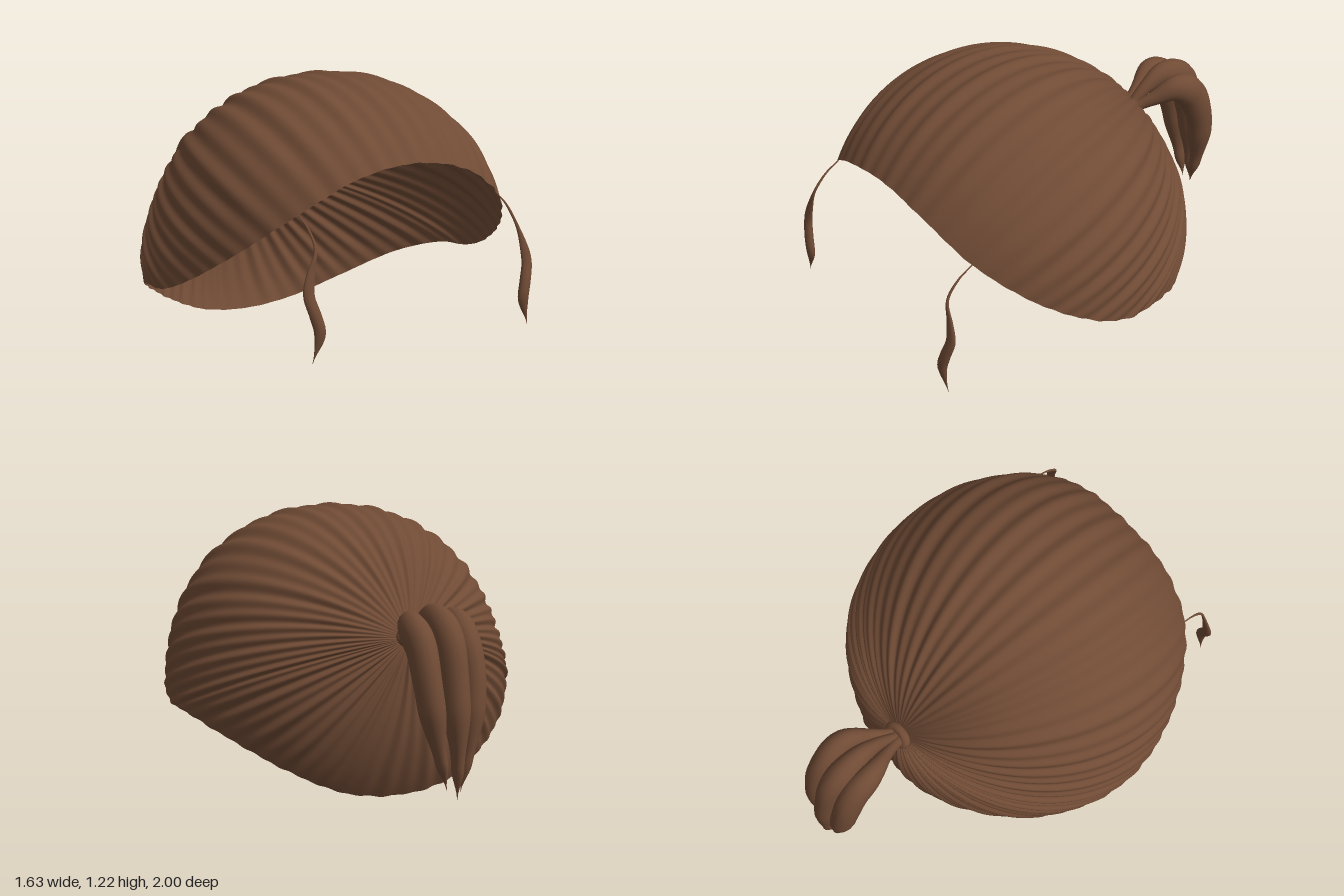
import * as THREE from 'three';

const V = (x, y, z) => new THREE.Vector3(x, y, z);
const curve = (pts, closed = false) => new THREE.CatmullRomCurve3(pts.map(p => V(...p)), closed);

// Surface closed around its columns; point(t, u) gives a position for t, u in 0..1
function loft(rows, cols, point) {
  const pos = [], index = [];
  for (let i = 0; i <= rows; i++) {
    for (let j = 0; j < cols; j++) pos.push(...point(i / rows, j / cols).toArray());
  }
  for (let i = 0; i < rows; i++) {
    for (let j = 0; j < cols; j++) {
      const k = (j + 1) % cols;
      const a = i * cols + j, b = i * cols + k, c = a + cols, d = b + cols;
      index.push(a, c, b, b, c, d);
    }
  }
  const g = new THREE.BufferGeometry();
  g.setAttribute('position', new THREE.Float32BufferAttribute(pos, 3));
  g.setIndex(index);
  g.computeVertexNormals();
  return g;
}

// Elliptical tube along a path; size(t) gives [half width, half depth]
function lock(path, size, rows = 48, cols = 16) {
  return loft(rows, cols, (t, u) => {
    const T = path.getTangentAt(t);
    const side = V(1, 0, 0).addScaledVector(T, -T.x).normalize();
    const out = T.clone().cross(side);
    const [w, d] = size(t), a = -u * Math.PI * 2;
    return path.getPointAt(t).addScaledVector(side, w * Math.cos(a)).addScaledVector(out, d * Math.sin(a));
  });
}

// Piecewise linear width along a strand, smoothed between [t, value] stops
function taper(stops) {
  return t => {
    let i = 1;
    while (i < stops.length - 1 && t > stops[i][0]) i++;
    const [t0, a] = stops[i - 1], [t1, b] = stops[i];
    return a + (b - a) * THREE.MathUtils.smoothstep(t, t0, t1);
  };
}

export function createModel() {
  const model = new THREE.Group();
  const brown = new THREE.MeshStandardMaterial({ color: 0x704b35, side: THREE.DoubleSide });
  brown.name = 'brown hair';
  const add = (name, geometry) => {
    const m = new THREE.Mesh(geometry, brown);
    m.name = name;
    model.add(m);
    return m;
  };

  // Cap: combed ridges run from the ponytail root to the hairline
  const centre = V(0, 0.42, 0.24), radii = V(0.815, 0.8, 0.8);
  const half = [[0.27, 0.86, 0.87], [0.5, 0.73, 0.80], [0.69, 0.55, 0.61], [0.79, 0.41, 0.38],
    [0.81, 0.355, 0.22], [0.79, 0.34, 0.05], [0.68, 0.265, -0.17], [0.46, 0.13, -0.35], [0.24, 0.035, -0.44]];
  const rim = curve([[0, 0.905, 0.88], ...half, [0, 0.005, -0.46],
    ...half.map(([x, y, z]) => [-x, y, z]).reverse()], true);
  const columns = 480;
  const rimPoints = rim.getSpacedPoints(columns);
  const toUnit = p => p.clone().sub(centre).divide(radii);
  const root = toUnit(V(-0.03, 0.70, -0.50));
  const rootDir = root.clone().normalize();
  add('hairCap', loft(56, columns, (t, u) => {
    const edge = toUnit(rimPoints[Math.round(u * columns)]);
    const dir = edge.clone().normalize();
    const angle = rootDir.angleTo(dir), s = Math.sin(angle);
    const p = rootDir.clone().multiplyScalar(Math.sin((1 - t) * angle) / s)
      .addScaledVector(dir, Math.sin(t * angle) / s);
    const a = u * Math.PI * 2;
    const ridge = 0.007 * Math.sin(54 * a + 1.2 * Math.sin(5 * a)) + 0.004 * Math.sin(31 * a + 1);
    const fade = THREE.MathUtils.smoothstep(t, 0, 0.25) * (1 - 0.5 * THREE.MathUtils.smoothstep(t, 0.8, 1));
    const r = THREE.MathUtils.lerp(root.length(), edge.length(), t) + ridge * fade;
    return p.multiplyScalar(r).multiply(radii).add(centre);
  }));

  // Band around the ponytail root
  const band = add('ponytailBand', new THREE.TorusGeometry(0.04, 0.022, 12, 32));
  band.position.set(-0.035, 0.71, -0.515);
  band.lookAt(-0.035, 1.21, -1.385);
  band.scale.set(1.15, 0.85, 1);

  // Ponytail: three thick strands that arch back and fall to points
  const width = taper([[0, 0], [0.03, 0.022], [0.1, 0.024], [0.38, 0.062], [0.65, 0.056], [0.88, 0.025], [1, 0.001]]);
  const depth = taper([[0, 0], [0.03, 0.024], [0.1, 0.028], [0.38, 0.078], [0.65, 0.066], [0.88, 0.035], [1, 0.001]]);
  const strands = [[-1, -0.118, -0.012, 0.14], [0, -0.028, 0.012, 0.115], [1, 0.078, -0.018, 0.15]];
  for (const [k, x, lift, tip] of strands) {
    const path = curve([
      [-0.035 + k * 0.03, 0.69, -0.465], [-0.035 + k * 0.025, 0.715, -0.53],
      [-0.03 + (x + 0.03) * 0.6, 0.775 + lift, -0.62], [x, 0.81 + lift, -0.73],
      [x, 0.745 + lift, -0.84 - lift], [x, 0.59, -0.905 - lift],
      [-0.02 + (x + 0.02) * 0.75, 0.37, -0.94 - lift], [-0.02 + (x + 0.02) * 0.3, tip, -0.95 - lift],
    ]);
    add('ponytailStrand', lock(path, t => [width(t), depth(t)]));
  }

  // Wavy locks hanging from the hairline, one each side
  const lockWidth = taper([[0, 0.003], [0.25, 0.006], [0.55, 0.026], [0.8, 0.026], [1, 0.001]]);
  const lockDepth = taper([[0, 0.003], [0.3, 0.006], [0.75, 0.019], [1, 0.001]]);
  for (const s of [1, -1]) {
    const path = curve([[0.495, 0.73, 0.80], [0.495, 0.69, 0.87], [0.50, 0.62, 0.93], [0.53, 0.53, 0.945],
      [0.545, 0.45, 0.955], [0.525, 0.37, 0.972], [0.51, 0.30, 0.98], [0.54, 0.185, 0.975]]
      .map(([x, y, z]) => [s * x, y, z]));
    add(s > 0 ? 'leftSideLock' : 'rightSideLock', lock(path, t => [lockWidth(t), lockDepth(t)], 40, 10));
  }
  return model;
}
